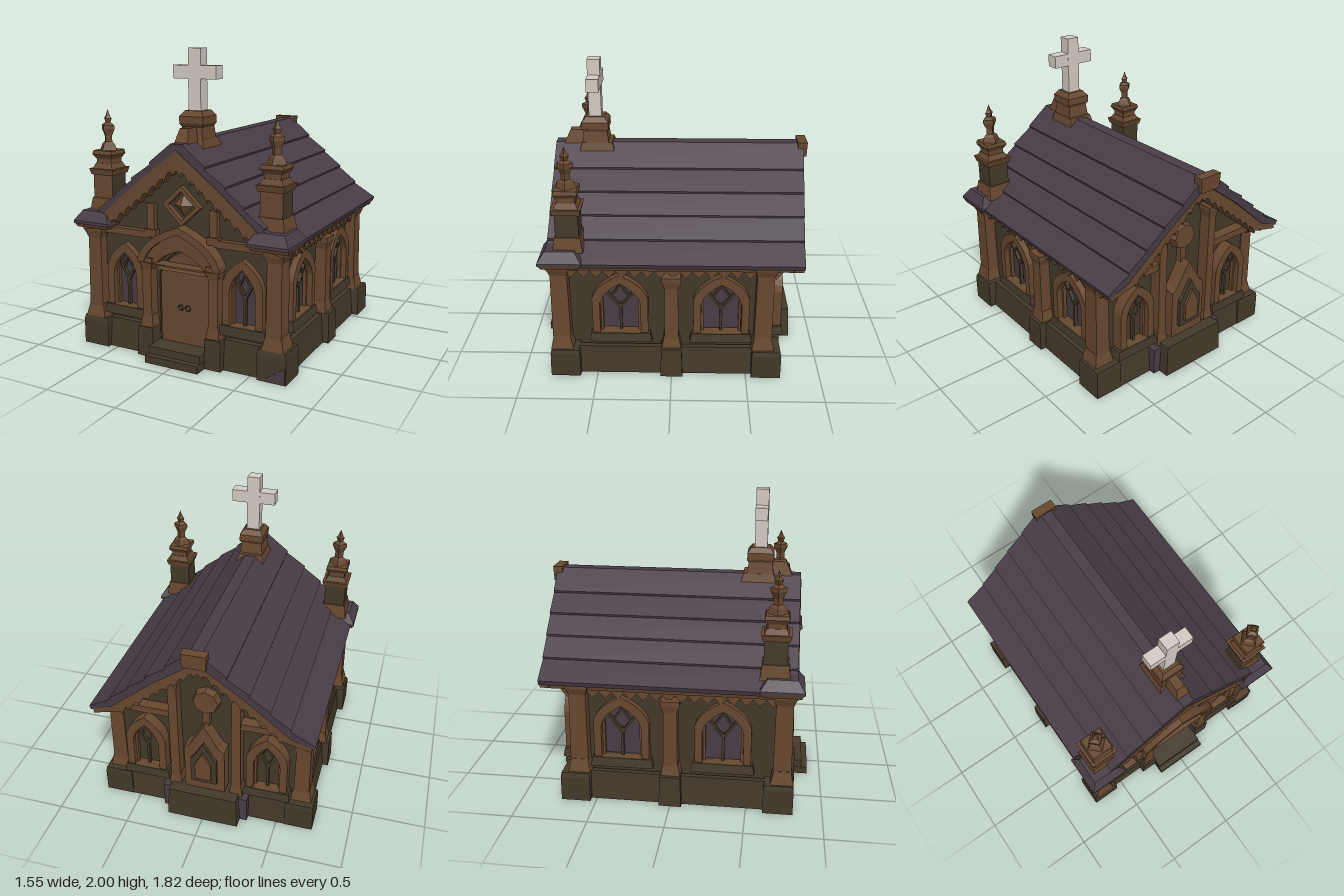
import * as THREE from 'three';

const mat = (name, color) => {
  const m = new THREE.MeshStandardMaterial({ color, flatShading: true, side: THREE.DoubleSide });
  m.name = name;
  return m;
};
const brown = mat('brown stone', 0x67482f);
const olive = mat('dark stone', 0x43392a);
const purple = mat('purple slate', 0x483c46);
const pale = mat('pale stone', 0xd3cac3);

function add(parent, name, geo, material, x = 0, y = 0, z = 0) {
  const m = new THREE.Mesh(geo, material);
  m.name = name;
  m.position.set(x, y, z);
  parent.add(m);
  return m;
}
// Box standing on y, top scaled by tx and tz
function block(parent, name, material, w, h, d, x, y, z, tx = 1, tz = tx) {
  const g = new THREE.BoxGeometry(w, h, d).translate(0, h / 2, 0);
  const p = g.attributes.position;
  for (let i = 0; i < p.count; i++)
    if (p.getY(i) > h / 2) p.setXYZ(i, p.getX(i) * tx, h, p.getZ(i) * tz);
  return add(parent, name, g, material, x, y, z);
}
const poly = pts => new THREE.Shape(pts.map(p => new THREE.Vector2(p[0], p[1])));
const extrude = (shape, depth) =>
  new THREE.ExtrudeGeometry(shape, { depth, bevelEnabled: false, curveSegments: 5 });
// Pointed arch outline, used for openings, frames and doors
function arch(hw, y0, spring, top, x = 0) {
  const s = new THREE.Shape(), c = spring + (top - spring) * 0.6;
  s.moveTo(x - hw, y0);
  s.lineTo(x + hw, y0);
  s.lineTo(x + hw, spring);
  s.quadraticCurveTo(x + hw * 0.85, c, x, top);
  s.quadraticCurveTo(x - hw * 0.85, c, x - hw, spring);
  s.closePath();
  return s;
}
const diamond = (w, h) => poly([[-w, 0], [0, -h], [w, 0], [0, h]]);
const square = r => poly([[-r, -r], [r, -r], [r, r], [-r, r]]);
function bar(parent, a, b, t, material) {
  const len = Math.hypot(b[0] - a[0], b[1] - a[1]);
  const m = add(parent, 'tracery', new THREE.BoxGeometry(t, len, 0.025), material,
    (a[0] + b[0]) / 2, (a[1] + b[1]) / 2, -0.005);
  m.rotation.z = -Math.atan2(b[0] - a[0], b[1] - a[1]);
}

// Gothic window on a wall whose outer face is local z = 0
function windowUnit(parent, x, hw, paneMat) {
  const g = new THREE.Group();
  g.name = 'window';
  g.position.x = x;
  parent.add(g);
  const frame = arch(hw + 0.05, 0.3, 0.56, 0.735);
  frame.holes.push(arch(hw, 0.3, 0.52, 0.67));
  add(g, 'windowFrame', extrude(frame, 0.12), brown, 0, 0, -0.075);
  add(g, 'windowPane', new THREE.ShapeGeometry(arch(hw, 0.3, 0.52, 0.67)), paneMat, 0, 0, -0.025);
  bar(g, [0, 0.3], [0, 0.5], 0.017, olive);
  for (const s of [-1, 1]) {
    bar(g, [0, 0.47], [s * hw * 0.72, 0.6], 0.015, olive);
    bar(g, [s * hw * 0.45, 0.55], [0, 0.64], 0.012, olive);
    bar(g, [s * hw * 0.92, 0.3], [s * hw * 0.92, 0.55], 0.016, brown);
  }
  block(g, 'sill', olive, 2 * hw + 0.15, 0.06, 0.1, 0, 0.235, 0.01, 0.94, 0.8);
}
// Pillar with a stepped foot and a capital
function pillar(parent, name, w, d, x, z, y0, y1) {
  const g = new THREE.Group();
  g.name = name;
  g.position.set(x, 0, z);
  parent.add(g);
  block(g, 'foot', brown, w * 1.4, 0.09, d * 1.25, 0, y0, 0, 0.75);
  block(g, 'shaft', brown, w, y1 - y0 - 0.1, d, 0, y0 + 0.05, 0, 0.92);
  block(g, 'capital', brown, w * 0.95, 0.05, d * 0.95, 0, y1 - 0.08, 0, 1.4, 1.25);
  block(g, 'abacus', brown, w * 1.33, 0.03, d * 1.2, 0, y1 - 0.03, 0);
}
// Hollow corner plinth, lined with slate and open below
function cornerPlinth(root, name, x, z) {
  const g = new THREE.Group();
  g.name = name;
  g.position.set(x, 0, z);
  root.add(g);
  const ring = (outer, inner, h) => {
    const s = square(outer);
    s.holes.push(square(inner));
    return extrude(s, h).rotateX(-Math.PI / 2);
  };
  add(g, 'plinthShell', ring(0.098, 0.09, 0.17), olive);
  add(g, 'plinthLining', ring(0.09, 0.085, 0.17), purple);
  block(g, 'plinthTop', [olive, olive, olive, purple, olive, olive], 0.196, 0.03, 0.196, 0, 0.17, 0, 0.94);
}
// Strip with a row of hanging points
function valance(len, top, mid, low, n) {
  const pts = [[-len / 2, top], [-len / 2, mid]];
  for (let i = 0; i < n; i++)
    pts.push([-len / 2 + (i + 0.5) * len / n, low], [-len / 2 + (i + 1) * len / n, mid]);
  pts.push([len / 2, top]);
  return extrude(poly(pts), 0.04);
}
// Gable trim with a toothed lower edge
function bargeboard() {
  const half = [];
  const n = 9;
  for (let i = 1; i <= n; i++) {
    const t = i / n, x = 0.56 * t, y = 1.27 - 0.45 * t;
    half.push([x - 0.03, y + 0.005], [x - 0.025, y + 0.03], [x, y + 0.02]);
  }
  const right = [...half, [0.73, 0.8], [0.73, 0.835], [0.58, 0.915], [0.3, 1.155]];
  const left = right.map(([x, y]) => [-x, y]).reverse();
  return extrude(poly([[0, 1.26], ...right, [0, 1.385], ...left]), 0.06);
}
function gableWall(holes) {
  const s = poly([[-0.62, 0.05], [0.62, 0.05], [0.62, 0.86], [0, 1.36], [-0.62, 0.86]]);
  s.holes.push(...holes);
  return extrude(s, 0.06);
}

function buildRoof(root) {
  // Overlapping courses give the top a shallow stepped line
  const top = [[0.2, 1.292], [0.34, 1.18], [0.47, 1.068], [0.6, 0.955], [0.755, 0.85]];
  const right = [[0.04, 1.425]];
  top.forEach(([x, y], i) => {
    right.push([x, y + 0.006]);
    if (i < 4) right.push([x - 0.004, y - 0.008]);
  });
  const under = [[0.745, 0.825], [0.6, 0.88], [0.3, 1.14], [0, 1.365]];
  const mirror = a => a.map(([x, y]) => [-x, y]).reverse();
  const shape = poly([...right, ...under, ...mirror(under).slice(1), ...mirror(right)]);
  const geo = extrude(shape, 1.655).translate(0, 0, -0.85);
  const p = geo.attributes.position;
  for (let i = 0; i < p.count; i++)
    if (p.getZ(i) < 0) p.setZ(i, p.getZ(i) - 0.04 * (p.getY(i) - 0.85) / 0.57);
  geo.computeVertexNormals();
  add(root, 'roof', geo, purple);
  add(root, 'frontBargeboard', bargeboard(), brown, 0, 0, 0.75);
  add(root, 'backBargeboard', bargeboard(), brown, 0, 0, -0.845);
  block(root, 'backRidgeCap', brown, 0.15, 0.1, 0.06, 0, 1.34, -0.88, 1.08);
}

function buildSide(root, s) {
  const side = new THREE.Group();
  side.name = s > 0 ? 'leftSide' : 'rightSide';
  side.rotation.y = s * Math.PI / 2;
  side.position.x = s * 0.63;
  root.add(side);
  const lx = z => -s * z;
  const wall = poly([[lx(-0.66), 0.05], [lx(0.72), 0.05], [lx(0.72), 0.88], [lx(-0.66), 0.88]]);
  for (const z of [0.34, -0.33]) wall.holes.push(arch(0.135, 0.3, 0.52, 0.67, lx(z)));
  add(side, 'sideWall', extrude(wall, 0.06), olive, 0, 0, -0.06);
  for (const z of [0.34, -0.33]) windowUnit(side, lx(z), 0.135, purple);
  pillar(side, 'middlePillar', 0.095, 0.1, 0, 0.03, 0.2, 0.74);
  block(side, 'middlePlinth', olive, 0.15, 0.21, 0.13, 0, 0, 0.055, 0.9);
  block(side, 'sidePlinth', olive, 1.18, 0.2, 0.07, lx(0.04), 0, 0.045, 1, 0.5);
  add(side, 'sideValance', valance(1.5, 0.84, 0.77, 0.72, 18), brown, lx(0.03), 0, 0.01);
  block(side, 'cornice', brown, 1.6, 0.05, 0.07, lx(0), 0.79, 0.045, 1, 1.4);
}

function buildCorners(root, s) {
  // Corner pillars and their plinths
  pillar(root, 'frontCornerPillar', 0.105, 0.12, s * 0.66, 0.73, 0.2, 0.83);
  pillar(root, 'backCornerPillar', 0.105, 0.12, s * 0.655, -0.61, 0.2, 0.83);
  cornerPlinth(root, 'frontCornerPlinth', s * 0.655, 0.71);
  cornerPlinth(root, 'backCornerPlinth', s * 0.655, -0.635);
  // Corner roof cap
  block(root, 'cornerCapTrim', brown, 0.24, 0.03, 0.24, s * 0.645, 0.825, 0.71, 1.1);
  block(root, 'cornerCapEdge', purple, 0.275, 0.02, 0.28, s * 0.64, 0.85, 0.71);
  block(root, 'cornerCap', purple, 0.275, 0.065, 0.28, s * 0.64, 0.87, 0.71, 0.68);
  // Pinnacle
  const g = new THREE.Group();
  g.name = 'pinnacle';
  g.position.set(s * 0.613, 0, 0.66);
  root.add(g);
  block(g, 'pinnacleBase', brown, 0.195, 0.1, 0.195, 0, 0.915, 0, 0.85);
  block(g, 'pinnaclePedestal', [olive, olive, olive, olive, brown, olive], 0.15, 0.17, 0.15, 0, 1.01, 0);
  block(g, 'pinnacleCollar', brown, 0.17, 0.04, 0.17, 0, 1.17, 0, 1.12);
  block(g, 'pinnacleNeck', brown, 0.155, 0.035, 0.155, 0, 1.21, 0, 0.8);
  block(g, 'pinnacleDrum', brown, 0.115, 0.06, 0.115, 0, 1.23, 0);
  block(g, 'pinnacleCrown', brown, 0.12, 0.03, 0.12, 0, 1.275, 0, 1.3);
  block(g, 'pinnacleCrownTop', brown, 0.156, 0.025, 0.156, 0, 1.305, 0, 0.92);
  const pts = [[0.07, 1.325], [0.05, 1.37], [0.03, 1.385], [0.03, 1.425], [0.052, 1.47],
    [0.05, 1.495], [0.02, 1.512], [0.03, 1.54], [0.018, 1.555], [0, 1.6]];
  add(g, 'pinnacleSpire', new THREE.LatheGeometry(pts.map(p => new THREE.Vector2(...p)), 4), brown);
}

function buildFront(root) {
  const front = new THREE.Group();
  front.name = 'front';
  front.position.z = 0.72;
  root.add(front);
  const holes = [-0.435, 0.435].map(x => arch(0.09, 0.3, 0.52, 0.67, x));
  holes.push(arch(0.19, 0.08, 0.55, 0.74));
  add(front, 'frontWall', gableWall(holes), olive, 0, 0, -0.06);
  add(front, 'door', extrude(arch(0.178, 0.08, 0.55, 0.725), 0.025), brown, 0, 0, -0.02);
  add(front, 'doorBack', extrude(arch(0.195, 0.08, 0.55, 0.745), 0.008), olive, 0, 0, -0.028);
  const portal = arch(0.285, 0.6, 0.66, 0.89);
  portal.holes.push(arch(0.19, 0.6, 0.61, 0.74));
  add(front, 'portalArch', extrude(portal, 0.075), brown, 0, 0, -0.01);
  const hood = arch(0.3, 0.64, 0.67, 0.9);
  hood.holes.push(arch(0.255, 0.64, 0.65, 0.85));
  add(front, 'portalHood', extrude(hood, 0.1), brown, 0, 0, -0.01);
  block(front, 'lowerStep', olive, 0.39, 0.05, 0.2, 0, 0, 0.09);
  block(front, 'upperStep', olive, 0.38, 0.1, 0.14, 0, 0, 0.08);
  for (const s of [-1, 1]) {
    windowUnit(front, s * 0.435, 0.09, purple);
    pillar(front, 'portalPillar', 0.07, 0.08, s * 0.245, 0.035, 0.19, 0.67);
    block(front, 'portalPlinth', olive, 0.12, 0.2, 0.13, s * 0.25, 0, 0.035, 0.92);
    block(front, 'frontPlinth', olive, 0.25, 0.2, 0.08, s * 0.435, 0, 0.02, 1, 0.5);
    add(front, 'doorHandle', new THREE.TorusGeometry(0.018, 0.006, 4, 6), olive, s * 0.026, 0.345, 0.01);
    block(front, 'gableStrip', brown, 0.055, 0.2, 0.045, s * 0.23, 0.82, 0.012);
    block(front, 'gableStripFoot', brown, 0.085, 0.05, 0.06, s * 0.23, 0.8, 0.015);
    block(front, 'stringCourse', brown, 0.46, 0.045, 0.06, s * 0.47, 0.79, 0.015);
  }
  // Slate patch low on the left corner plinth
  add(front, 'plinthPatch', extrude(poly([[0.6, 0.012], [0.748, 0.012], [0.746, 0.11]]), 0.008),
    purple, 0, 0, 0.084);
  // Diamond ornament in the gable
  const ring = diamond(0.14, 0.13);
  ring.holes.push(diamond(0.1, 0.093));
  add(front, 'diamondRing', extrude(ring, 0.04), brown, 0, 1.025, -0.005);
  add(front, 'diamondBoss', new THREE.OctahedronGeometry(0.07), brown, 0, 1.025, 0).scale.z = 0.6;
}

function buildBack(root) {
  const back = new THREE.Group();
  back.name = 'back';
  back.position.z = -0.66;
  back.rotation.y = Math.PI;
  root.add(back);
  add(back, 'backWall', gableWall([]), olive, 0, 0, -0.06);
  block(back, 'backCentrePlinth', olive, 0.5, 0.22, 0.2, 0, 0, 0.085, 0.95, 0.9);
  const house = (w, y0, y1, y2) => poly([[-w, y0], [w, y0], [w, y1], [w * 0.75, y1 + 0.02], [0, y2],
    [-w * 0.75, y1 + 0.02], [-w, y1]]);
  add(back, 'nicheBody', extrude(house(0.14, 0.22, 0.57, 0.77), 0.1), brown);
  add(back, 'nichePanel', extrude(house(0.09, 0.3, 0.5, 0.64), 0.025), olive, 0, 0, 0.1);
  add(back, 'nicheRelief', extrude(house(0.055, 0.34, 0.47, 0.57), 0.02), brown, 0, 0, 0.122);
  const disc = add(back, 'roundel', new THREE.CylinderGeometry(0.085, 0.1, 0.06, 8), brown, 0, 0.93, 0.02);
  disc.rotation.x = Math.PI / 2;
  block(back, 'roundelStem', brown, 0.05, 0.14, 0.04, 0, 0.74, 0.02);
  for (const s of [-1, 1]) {
    pillar(back, 'backPilaster', 0.065, 0.09, s * 0.215, 0.04, 0.2, 1.1);
    const g = new THREE.Group();
    g.name = 'blindWindow';
    g.position.z = 0.035;
    back.add(g);
    windowUnit(g, s * 0.425, 0.09, olive);
    block(back, 'backPlinth', olive, 0.28, 0.2, 0.08, s * 0.42, 0, 0.03, 1, 0.5);
    block(back, 'plinthGapFill', purple, 0.06, 0.19, 0.11, s * 0.27, 0, 0.055);
    block(back, 'backStringCourse', brown, 0.44, 0.05, 0.09, s * 0.46, 0.78, 0.03);
  }
}

function buildCross(root) {
  const g = new THREE.Group();
  g.name = 'ridgeCross';
  g.position.z = 0.53;
  root.add(g);
  block(g, 'crossSaddle', brown, 0.2, 0.06, 0.24, 0, 1.375, -0.01, 0.85);
  block(g, 'crossPedestal', brown, 0.165, 0.09, 0.18, 0, 1.43, 0, 0.87);
  block(g, 'crossCollar', brown, 0.15, 0.02, 0.16, 0, 1.51, 0, 1.15);
  block(g, 'crossCollarBand', brown, 0.172, 0.045, 0.18, 0, 1.53, 0);
  block(g, 'crossCollarTop', brown, 0.172, 0.035, 0.18, 0, 1.575, 0, 0.7);
  block(g, 'ridgeBracket', brown, 0.11, 0.12, 0.2, 0, 1.39, 0.13, 0.55, 0.45);
  block(g, 'crossPost', pale, 0.09, 0.4, 0.085, 0, 1.6, 0);
  block(g, 'crossArm', pale, 0.31, 0.085, 0.083, 0, 1.808, 0);
}

export function createModel() {
  const root = new THREE.Group();
  root.name = 'chapel';
  buildRoof(root);
  buildFront(root);
  buildBack(root);
  for (const s of [-1, 1]) {
    buildSide(root, s);
    buildCorners(root, s);
  }
  buildCross(root);
  return root;
}
